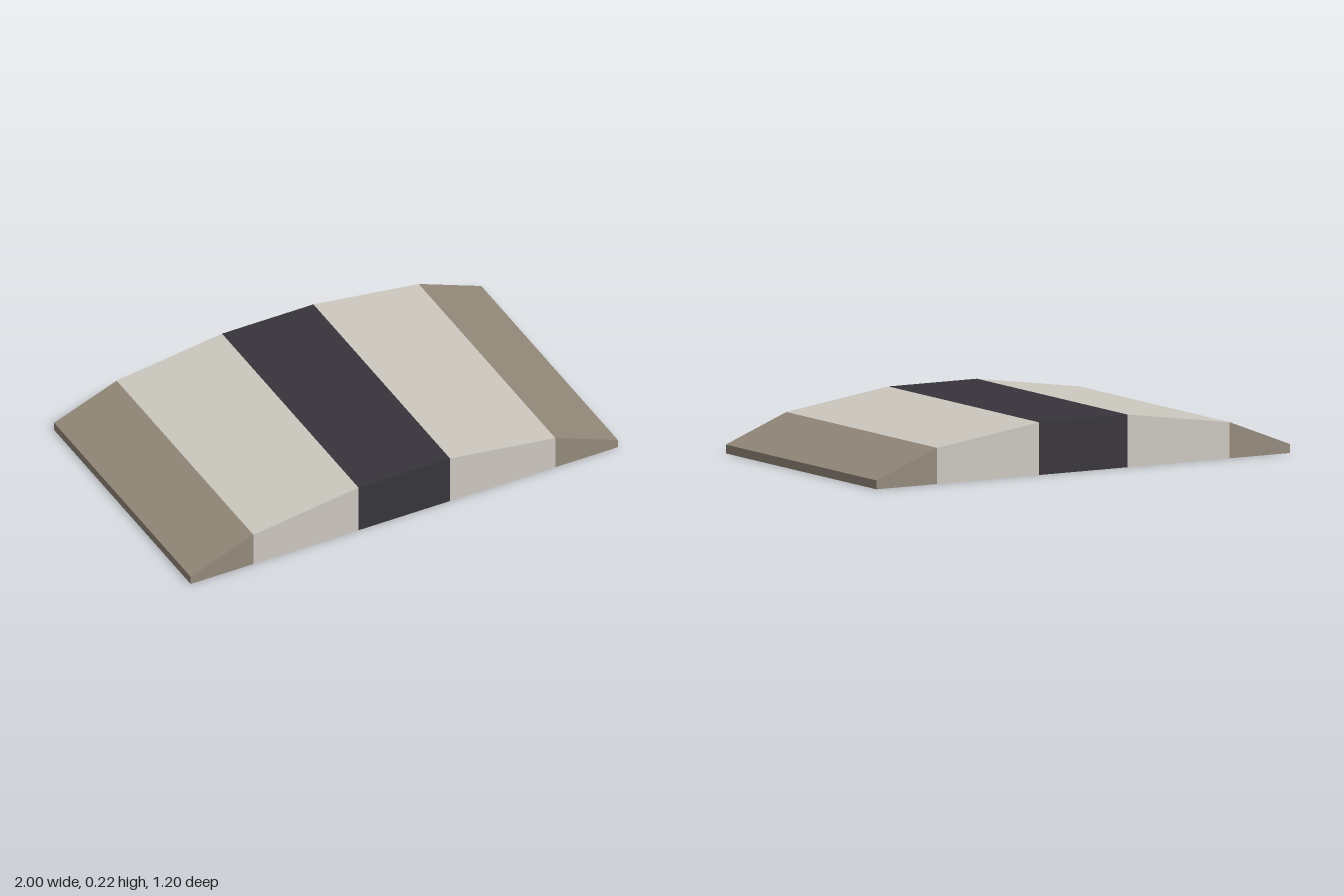
import * as THREE from 'three';

const HALF_DEPTH = 0.6;

// Flat-shaded geometry from four-cornered faces, corners counter-clockwise from outside
function quads(faces) {
  const points = faces.flatMap(([a, b, c, d]) => [a, b, c, a, c, d]).flat();
  const geometry = new THREE.BufferGeometry();
  geometry.setAttribute('position', new THREE.Float32BufferAttribute(points, 3));
  geometry.computeVertexNormals();
  return geometry;
}

export function createModel() {
  const material = (name, color) => new THREE.MeshStandardMaterial({ name, color });
  const tan = material('tan', 0x958b7c);
  const cream = material('cream', 0xcdc9c0);
  const charcoal = material('charcoal', 0x37353b);

  const model = new THREE.Group();
  model.name = 'ramp';
  const add = (name, faces, mat) => {
    const mesh = new THREE.Mesh(quads(faces), mat);
    mesh.name = name;
    model.add(mesh);
  };

  // Top outline from right to left: x, height
  const outline = [[-1, 0.037], [-0.707, 0.151], [-0.214, 0.22], [0.214, 0.22], [0.707, 0.151], [1, 0.037]];
  const bands = [
    ['rightRamp', tan], ['rightSlope', cream], ['centreBand', charcoal],
    ['leftSlope', cream], ['leftRamp', tan],
  ];
  const f = HALF_DEPTH, b = -HALF_DEPTH;

  // Each band has a top, a front and a back; the outer two also get an end lip
  bands.forEach(([name, mat], i) => {
    const [x0, h0] = outline[i], [x1, h1] = outline[i + 1];
    const faces = [
      [[x0, h0, f], [x1, h1, f], [x1, h1, b], [x0, h0, b]],
      [[x0, 0, f], [x1, 0, f], [x1, h1, f], [x0, h0, f]],
      [[x1, 0, b], [x0, 0, b], [x0, h0, b], [x1, h1, b]],
    ];
    if (i === 0) faces.push([[x0, 0, b], [x0, 0, f], [x0, h0, f], [x0, h0, b]]);
    if (i === bands.length - 1) faces.push([[x1, 0, f], [x1, 0, b], [x1, h1, b], [x1, h1, f]]);
    add(name, faces, mat);
  });

  // One plain underside closes the body
  add('underside', [[[-1, 0, b], [1, 0, b], [1, 0, f], [-1, 0, f]]], cream);

  return model;
}
